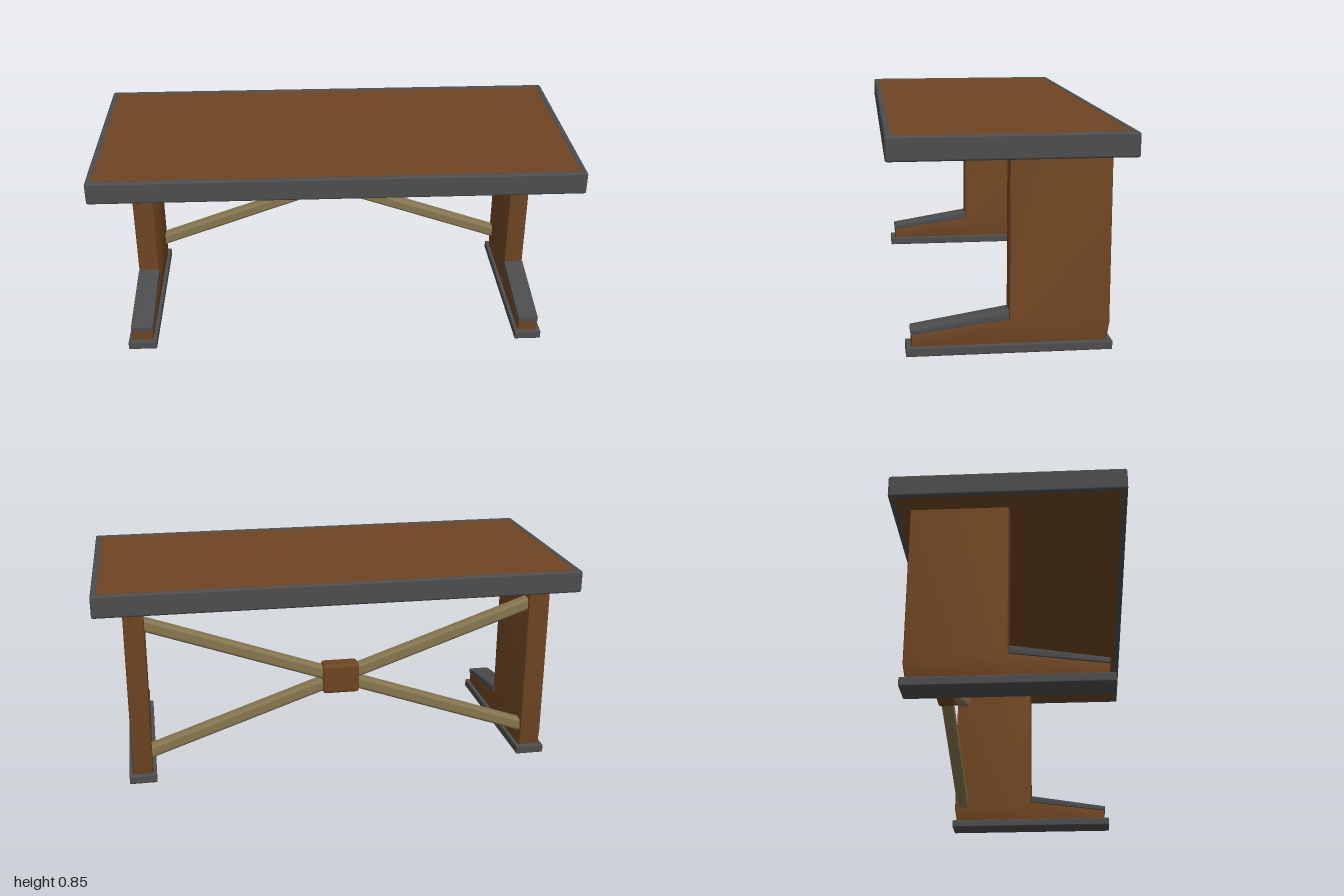
import * as THREE from 'three';
import { toCreasedNormals } from 'three/addons/utils/BufferGeometryUtils.js';
import { RoundedBoxGeometry } from 'three/addons/geometries/RoundedBoxGeometry.js';

const material = (name, color) => {
  const m = new THREE.MeshStandardMaterial({ color });
  m.name = name;
  return m;
};

const polygon = (points) => new THREE.Shape(points.map(([x, y]) => new THREE.Vector2(x, y)));

const rectangle = (x, y) => [[-x, -y], [x, -y], [x, y], [-x, y]];

// Extrusion centred on its depth, with bevels kept inside the outline.
function bevelled(shape, depth, bevel) {
  const g = new THREE.ExtrudeGeometry(shape, {
    depth: depth - 2 * bevel, bevelEnabled: true, bevelThickness: bevel,
    bevelSize: bevel, bevelOffset: -bevel, bevelSegments: 2,
  });
  g.translate(0, 0, bevel - depth / 2);
  return toCreasedNormals(g, 0.7);
}

export function createModel() {
  const wood = material('brown wood', 0x6e4522);
  const metal = material('dark grey metal', 0x4d4d4d);
  const pale = material('pale wood', 0x85764f);
  const model = new THREE.Group();
  model.name = 'table';

  const add = (parent, name, geometry, mat, x = 0, y = 0, z = 0) => {
    const mesh = new THREE.Mesh(geometry, mat);
    mesh.name = name;
    mesh.position.set(x, y, z);
    parent.add(mesh);
    return mesh;
  };

  // Tabletop: four grey rails around a slightly recessed wooden panel
  const rail = 0.026;
  for (const side of [-1, 1]) {
    add(model, 'longRail', new RoundedBoxGeometry(2, 0.093, rail, 2, 0.009), metal, 0, 0.8065, side * (0.46 - rail / 2));
    add(model, 'endRail', new RoundedBoxGeometry(rail, 0.093, 0.92, 2, 0.009), metal, side * (1 - rail / 2), 0.8065);
  }
  add(model, 'tabletopPanel', new RoundedBoxGeometry(1.964, 0.087, 0.884, 2, 0.004), wood, 0, 0.8065);

  // Side profiles as (z, y)
  const legProfile = polygon([
    [0.37, 0.025], [0.37, 0.08], [0, 0.13], [0, 0.78],
    [-0.388, 0.78], [-0.388, 0.1], [-0.375, 0.025],
  ].reverse());
  const capProfile = polygon([[0.372, 0.079], [0.372, 0.1], [0, 0.161], [0, 0.128]]);

  // Two end supports: upright with foot, metal foot cap and floor pad
  for (const [name, x, width] of [['left', 0.842, 0.084], ['right', -0.848, 0.092]]) {
    const support = new THREE.Group();
    support.name = name + 'Support';
    support.position.x = x;
    model.add(support);
    add(support, 'leg', bevelled(legProfile, width, 0.01).rotateY(-Math.PI / 2), wood);
    add(support, 'footCap', bevelled(capProfile, width + 0.002, 0.003).rotateY(-Math.PI / 2), metal);
    add(support, 'footPad', new RoundedBoxGeometry(width + 0.03, 0.036, 0.788, 2, 0.005), metal, 0, 0.018, -0.003);
  }

  // Crossed braces between the legs, joined by a block
  const rise = Math.atan2(0.56, 1.6);
  const length = Math.hypot(1.64, 0.574);
  for (const side of [-1, 1]) {
    const brace = add(model, 'brace', new RoundedBoxGeometry(length, 0.053, 0.055, 2, 0.014), pale, 0, 0.41, -0.348);
    brace.rotation.z = side * rise;
  }
  add(model, 'braceBlock', new RoundedBoxGeometry(0.156, 0.128, 0.078, 2, 0.015), wood, 0, 0.41, -0.348);

  return model;
}
